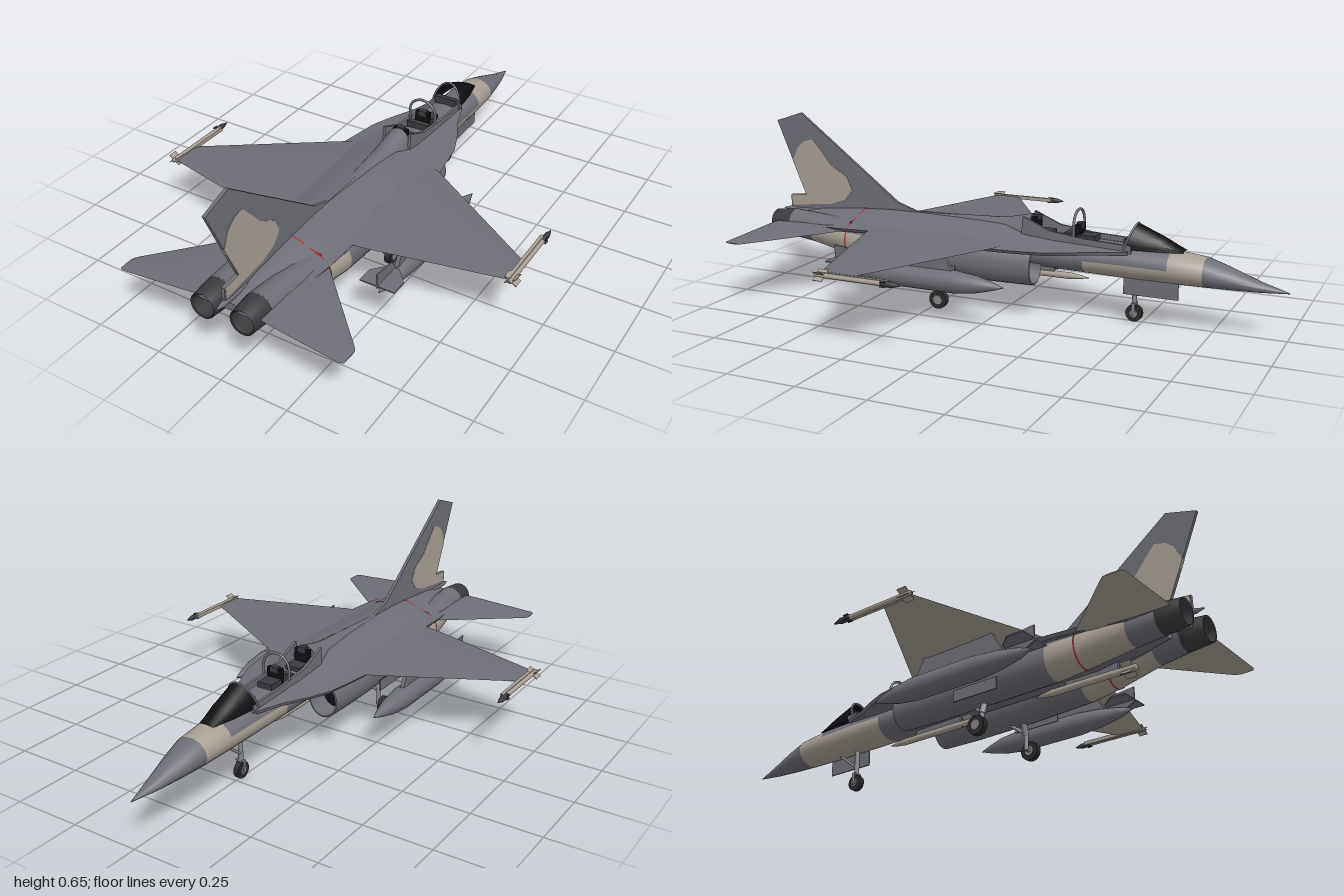
import * as THREE from 'three';
import { toCreasedNormals } from 'three/addons/utils/BufferGeometryUtils.js';

export function createModel() {
  const model = new THREE.Group();
  const mat = (name, color, side = THREE.FrontSide) => {
    const m = new THREE.MeshStandardMaterial({ color, side });
    m.name = name;
    return m;
  };
  const grey = mat('grey paint', 0x6e6e77, THREE.DoubleSide);
  const tan = mat('tan paint', 0xa89f94, THREE.DoubleSide);
  const dark = mat('burnt metal', 0x3b3b3e, THREE.DoubleSide);
  const black = mat('black glass', 0x101013, THREE.DoubleSide);
  const tyre = mat('tyre rubber', 0x2b2b2c);
  const metal = mat('bare metal', 0x85858b);
  const red = mat('red stripe', 0xa83232, THREE.DoubleSide);
  const paints = [grey, tan];

  const add = (name, geo, m) => {
    const mesh = new THREE.Mesh(geo, m);
    mesh.name = name;
    model.add(mesh);
    return mesh;
  };
  // Adds a part on +x and its mirror image on -x
  const both = (name, geo, m) => {
    const g = geo.index ? geo.toNonIndexed() : geo;
    add(name + 'Left', g, m);
    const r = g.clone().scale(-1, 1, 1);
    for (const a of Object.values(r.attributes)) {
      const n = a.itemSize;
      for (let t = 0; t < a.count; t += 3) for (let k = 0; k < n; k++) {
        const p = (t + 1) * n + k, q = p + n, s = a.array[p];
        a.array[p] = a.array[q];
        a.array[q] = s;
      }
    }
    add(name + 'Right', r, m);
  };
  // Skins rings of points; pick(i, j) gives the paint index of each panel
  const loft = (rings, { pick = () => 0, caps = true, closed = true, crease = 0.7 } = {}) => {
    const n = rings[0].length, lists = [[], []], last = rings.length - 1;
    for (let i = 0; i < last; i++) for (let j = 0; j < (closed ? n : n - 1); j++) {
      const k = (j + 1) % n, a = i * n + j, b = i * n + k;
      lists[pick(i, j)].push(a, b, a + n, b, b + n, a + n);
    }
    if (caps) for (let j = 1; j < n - 1; j++) {
      lists[pick(0, j)].push(0, j + 1, j);
      lists[pick(last - 1, j)].push(last * n, last * n + j, last * n + j + 1);
    }
    const g = new THREE.BufferGeometry();
    g.setAttribute('position', new THREE.Float32BufferAttribute(rings.flat(2), 3));
    g.setIndex(lists.flat());
    g.addGroup(0, lists[0].length, 0);
    g.addGroup(lists[0].length, lists[1].length, 1);
    return toCreasedNormals(g, crease);
  };
  const oval = (z, cx, cy, rx, ry, n = 24) => Array.from({ length: n }, (_, j) => {
    const a = (j / n) * Math.PI * 2;
    return [cx + rx * Math.cos(a), cy + ry * Math.sin(a), z];
  });
  // Thin plate outlined in (z, y), centred on x
  const sidePlate = (pts, d, x = 0) => new THREE.ExtrudeGeometry(
    new THREE.Shape(pts.map(p => new THREE.Vector2(...p))), { depth: d, bevelEnabled: false })
    .rotateY(-Math.PI / 2).translate(x + d / 2, 0, 0);
  const box = (w, h, d, x, y, z) => new THREE.BoxGeometry(w, h, d).translate(x, y, z);
  // Round body along z from [radius, z] pairs
  const turned = (pts, x, y) => new THREE.LatheGeometry(pts.map(p => new THREE.Vector2(...p)), 18)
    .rotateX(Math.PI / 2).translate(x, y, 0);
  const rod = (a, b, r) => {
    const p = new THREE.Vector3(...a), q = new THREE.Vector3(...b), d = q.clone().sub(p);
    const g = new THREE.CylinderGeometry(r, r, d.length(), 10);
    g.applyQuaternion(new THREE.Quaternion().setFromUnitVectors(new THREE.Vector3(0, 1, 0), d.normalize()));
    return g.translate(...p.add(q).multiplyScalar(0.5).toArray());
  };

  // Nose and fuselage core: z, half width, top, bottom
  const core = [[-1, .001, .167, .164], [-.9, .028, .195, .158], [-.8, .05, .232, .156], [-.72, .064, .258, .155],
    [-.6, .07, .271, .154], [-.45, .073, .275, .155], [-.3, .075, .272, .158], [0, .08, .275, .165],
    [.6, .08, .275, .17], [.86, .03, .265, .21]];
  add('fuselage', loft(core.map(([z, w, t, b]) => oval(z, 0, (t + b) / 2, w, (t - b) / 2)), {
    pick: (i, j) => (i === 3 || ((i === 4 || i === 5) && j > 10) ? 1 : 0),
  }), paints);

  // Blended upper body with leading edge strakes: z, half width, edge height, top
  const deckRing = ([z, w, e, t]) => {
    const r = [];
    for (let k = 0; k <= 16; k++) {
      const u = 1 - k / 8;
      r.push([w * u, e + (t - e) * Math.cos(u * Math.PI / 2) ** 2, z]);
    }
    r.push([-w * .95, e - .012, z], [w * .95, e - .012, z]);
    return r;
  };
  const deck = [[-.46, .066, .262, .275], [-.36, .1, .26, .275], [-.27, .145, .258, .276], [-.19, .177, .257, .278],
    [-.08, .195, .257, .29], [0, .208, .259, .312], [.2, .205, .263, .312], [.5, .17, .263, .31],
    [.62, .165, .258, .304], [.8, .14, .25, .288], [.93, .12, .244, .262]];
  add('upperBody', loft(deck.map(deckRing), { crease: .8 }), paints);
  add('stripe', loft([deckRing([.603, .12, .275, .307]), deckRing([.609, .12, .275, .307])], { caps: false }), red);

  // Spine behind the cockpit
  const spine = [[-.085, .056, .35], [-.03, .054, .337], [.03, .05, .325], [.2, .035, .319], [.45, .012, .312]];
  add('spine', loft(spine.map(([z, w, t]) => oval(z, 0, .265, w, t - .265))), grey);

  // Cockpit: sills, consoles, seats, windscreen and hoop
  both('cockpitSill', sidePlate([[-.47, .255], [-.47, .282], [-.3, .29], [-.17, .306], [-.07, .348], [-.06, .255]], .01, .053), grey);
  for (const z of [-.265, -.1]) {
    add('seatBack', box(.058, .06, .018, 0, .3, z).translate(0, z > -.2 ? .012 : 0, 0), black);
    add('seatCushion', box(.058, .02, .06, 0, .285, z - .035), dark);
    add('headrest', box(.03, .02, .02, 0, z > -.2 ? .34 : .325, z), dark);
  }
  for (const z of [-.45, -.23]) add('instrumentPanel', box(.09, .03, .02, 0, .287, z), dark);
  add('hoop', new THREE.TorusGeometry(.054, .005, 8, 24, Math.PI).translate(0, .327, -.26), grey);
  both('hoopPost', rod([.054, .275, -.26], [.054, .328, -.26], .005), grey);
  const arch = (z, w, h, slant) => Array.from({ length: 15 }, (_, k) => {
    const a = (k / 14) * Math.PI;
    return [w * Math.cos(a), .268 + h * Math.sin(a), z - slant * Math.sin(a)];
  });
  add('windscreen', loft([arch(-.645, .028, .004, 0), arch(-.56, .046, .045, .01), arch(-.445, .058, .084, .033)],
    { caps: false, closed: false }), black);
  add('windscreenFrame', new THREE.TubeGeometry(new THREE.CatmullRomCurve3(
    arch(-.443, .058, .084, .033).map(p => new THREE.Vector3(...p))), 24, .004, 6), grey);

  // Engine nacelles: z, centre x, centre y, radii
  const nacelle = [[-.14, .112, .187, .058, .066], [0, .112, .19, .061, .072], [.25, .11, .195, .063, .074],
    [.5, .102, .2, .064, .07], [.62, .094, .21, .061, .064], [.78, .08, .23, .055, .056], [.88, .075, .238, .053, .053]];
  both('nacelle', loft(nacelle.map(s => oval(...s)), {
    caps: false, pick: (i, j) => (i >= 3 && i < 5 && (j > 13 || j < 2) ? 1 : 0),
  }), paints);
  both('intakeLip', loft([oval(-.14, .112, .187, .058, .066), oval(-.142, .112, .187, .053, .061),
    oval(-.06, .112, .187, .05, .058)], { caps: false }), grey);
  both('intakeFace', new THREE.CircleGeometry(.056, 24).rotateY(Math.PI).translate(.112, .187, -.062), black);
  both('nacelleBand', loft([oval(.606, .0955, .209, .064, .067), oval(.612, .0955, .209, .064, .067)], { caps: false }), red);
  both('nozzle', turned([[.053, .875], [.052, .9], [.046, .965], [.04, .96], [.044, .89]], .075, .238), dark);
  both('nozzleCore', new THREE.CircleGeometry(.05, 20).translate(.075, .238, .895), black);

  // Wings and tailplanes: x, y, leading z, trailing z, thickness; tan underneath
  const blade = ([x, y, l, t, h]) => [[0, 0], [.25, .5], [.65, .4], [1, 0], [.65, -.4], [.25, -.5]]
    .map(([u, v]) => [x, y + v * h, l + (t - l) * u]);
  const under = { pick: (i, j) => (j >= 3 ? 1 : 0), crease: .5 };
  both('wing', loft([[.1, .266, -.06, .51, .022], [.2, .262, -.025, .495, .022], [.665, .245, .265, .38, .008]].map(blade), under), paints);
  both('tailplane', loft([[.11, .25, .59, .935, .014], [.165, .247, .625, .94, .014], [.41, .231, .868, .952, .006],
    [.424, .23, .885, .945, .004]].map(blade), under), paints);

  // Fin with painted patch
  add('fin', sidePlate([[.35, .3], [.47, .34], [.89, .655], [1, .62], [.88, .335], [.95, .33], [.95, .285], [.86, .265], [.4, .28]], .012), grey);
  add('finPatch', sidePlate([[.945, .288], [.945, .33], [.879, .335], [.935, .465], [.91, .52], [.88, .545], [.84, .555], [.8, .51],
    [.76, .46], [.69, .42], [.667, .37], [.7, .33], [.76, .308]], .0145), tan);
  add('finTailcone', turned([[.001, .78], [.012, .85], [.009, .96], [.001, .99]], 0, .272), grey);

  // Wingtip rails and missiles
  both('tipRail', box(.012, .014, .26, .668, .246, .25), tan);
  both('tipMissile', turned([[.001, .075], [.008, .1], [.008, .385], [.001, .386]], .678, .244), tan);
  both('tipMissileHead', turned([[.001, .07], [.01, .1], [.01, .14], [.001, .145]], .678, .244), dark);
  for (const a of [.6, -.6]) {
    both('tipMissileFin', new THREE.BoxGeometry(.05, .002, .035).rotateZ(a).translate(.678, .244, .365), tan);
    both('tipMissileCanard', new THREE.BoxGeometry(.03, .002, .02).rotateZ(a).translate(.678, .244, .13), dark);
  }

  // Drop tanks with pylons and fins
  both('tank', turned([[.001, -.105], [.016, -.06], [.031, 0], [.04, .08], [.04, .33], [.032, .42], [.018, .5], [.001, .55]], .298, .155), grey);
  both('tankPylon', sidePlate([[.08, .18], [.12, .255], [.4, .255], [.44, .18]], .014, .298), grey);
  both('tankFin', new THREE.ExtrudeGeometry(new THREE.Shape([[-.065, -.56], [.065, -.56], [.065, -.5], [.02, -.45], [-.02, -.45], [-.065, -.5]]
    .map(p => new THREE.Vector2(...p))), { depth: .004, bevelEnabled: false }).rotateX(-Math.PI / 2).translate(.298, .186, 0), grey);
  both('tankFinUpright', sidePlate([[.42, .16], [.47, .225], [.56, .235], [.56, .18], [.5, .15]], .005, .298), grey);

  // Belly stores
  for (const [a, b, y] of [[-.3, .1, .135], [.35, .74, .147]]) {
    add('bellyMissile', turned([[.001, a], [.007, a + .03], [.012, a + .07], [.012, b], [.001, b + .001]], 0, y), tan);
    add('bellyMissileRack', box(.012, .04, .2, 0, y + .025, (a + b) / 2 + .03), grey);
    for (const r of [.785, -.785]) {
      add('bellyMissileFin', new THREE.BoxGeometry(.06, .003, .04).rotateZ(r).translate(0, y, b - .03), tan);
    }
  }

  // Landing gear
  const wheel = (r, w, x, z) => new THREE.CylinderGeometry(r, r, w, 20).rotateZ(Math.PI / 2).translate(x, r, z);
  both('mainWheel', wheel(.034, .022, .151, .22), tyre);
  both('mainHub', wheel(.034, .025, .151, .22).translate(0, -.034, -.22).scale(1, .5, .5)
    .translate(.151 - .151, .034, .22), metal);
  both('mainAxle', rod([.125, .034, .22], [.15, .034, .22], .007), metal);
  both('mainLeg', rod([.125, .03, .22], [.125, .09, .22], .008), metal);
  both('mainStrut', rod([.125, .085, .22], [.1, .16, .22], .011), metal);
  both('mainBrace', rod([.122, .09, .22], [.08, .15, .14], .006), metal);
  both('mainDoor', sidePlate([[.14, .13], [.14, .172], [.32, .172], [.32, .13]], .005, .177), grey);
  add('noseWheel', wheel(.03, .02, 0, -.47), tyre);
  add('noseHub', new THREE.CylinderGeometry(.014, .014, .024, 16).rotateZ(Math.PI / 2).translate(0, .03, -.47), metal);
  add('noseFork', box(.034, .006, .014, 0, .065, -.47), metal);
  both('noseForkArm', box(.004, .045, .012, .015, .045, -.47), metal);
  add('noseStrut', rod([0, .065, -.47], [0, .165, -.47], .009), metal);
  add('noseBrace', rod([0, .09, -.47], [0, .16, -.56], .005), metal);
  add('noseDoor', sidePlate([[-.635, .105], [-.635, .168], [-.44, .168], [-.44, .105]], .005, .035), grey);

  return model;
}
